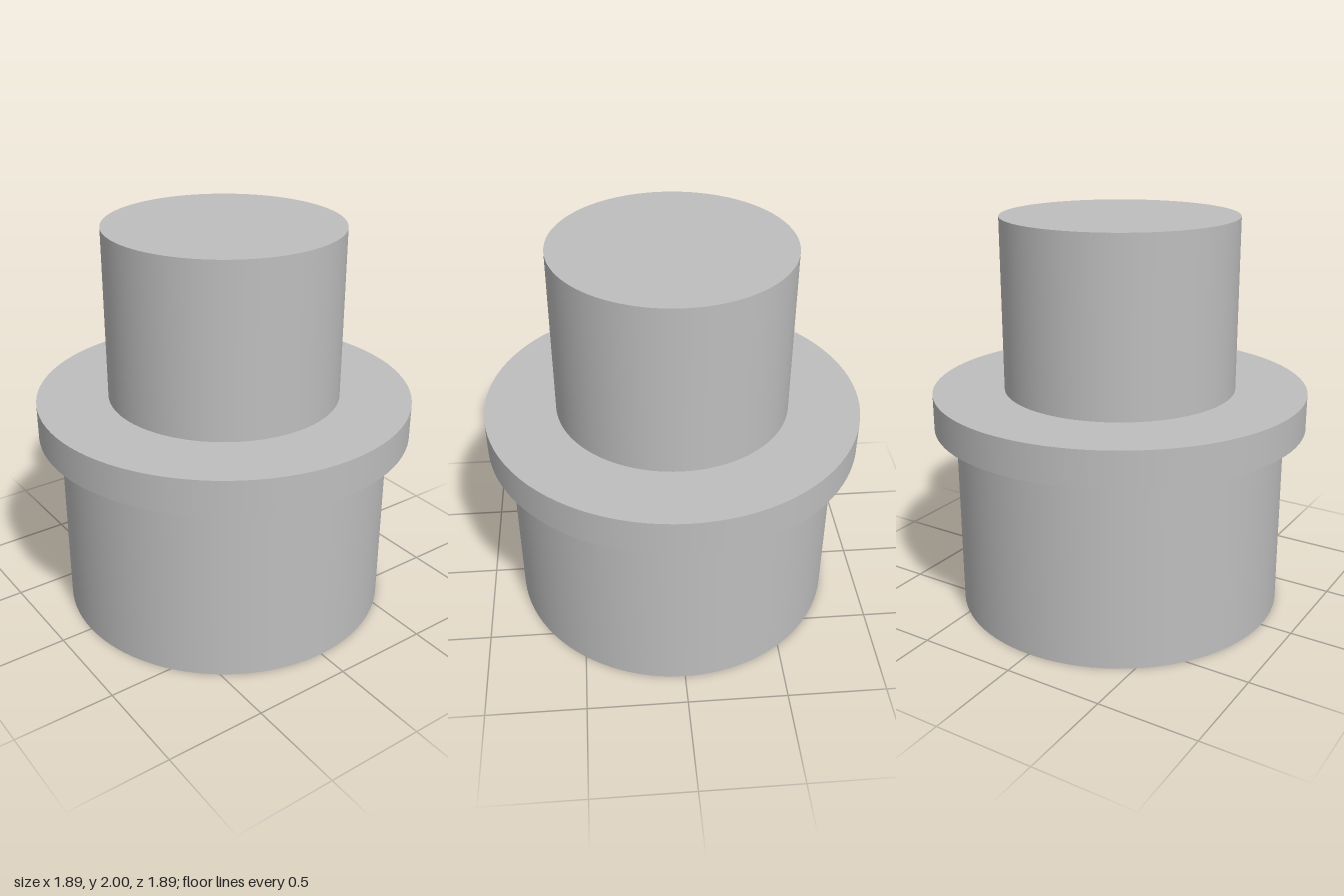
import * as THREE from 'three';

const SEGMENTS = 96;

// Revolves each straight profile run separately, so the corners stay sharp.
function turnedPart(name, profile, material) {
  const part = new THREE.Group();
  part.name = name;
  for (let i = 0; i < profile.length - 1; i++) {
    const run = [profile[i], profile[i + 1]].map(([r, y]) => new THREE.Vector2(r, y));
    const face = new THREE.Mesh(new THREE.LatheGeometry(run, SEGMENTS), material);
    face.name = `${name}Face${i + 1}`;
    part.add(face);
  }
  return part;
}

export function createModel() {
  const model = new THREE.Group();
  model.name = 'flangedPlug';
  const grey = new THREE.MeshStandardMaterial({ color: 0xbebebe });
  grey.name = 'grey';

  const boreRadius = 0.465, boreDepth = 0.41;
  const bodyRadius = 0.838, flangeRadius = 0.946, shaftRadius = 0.587;
  const flangeBottom = 0.957, flangeTop = 1.136, top = 2;

  // Blind hole in the underside, with its flat end
  model.add(turnedPart('bore', [[0, boreDepth], [boreRadius, boreDepth], [boreRadius, 0]], grey));
  // Wide lower body with its ring-shaped underside
  model.add(turnedPart('body', [[boreRadius, 0], [bodyRadius, 0], [bodyRadius, flangeBottom]], grey));
  // Projecting collar
  model.add(turnedPart('flange', [
    [bodyRadius, flangeBottom], [flangeRadius, flangeBottom],
    [flangeRadius, flangeTop], [shaftRadius, flangeTop],
  ], grey));
  // Solid upper shaft with a flat top
  model.add(turnedPart('shaft', [[shaftRadius, flangeTop], [shaftRadius, top], [0, top]], grey));

  return model;
}
